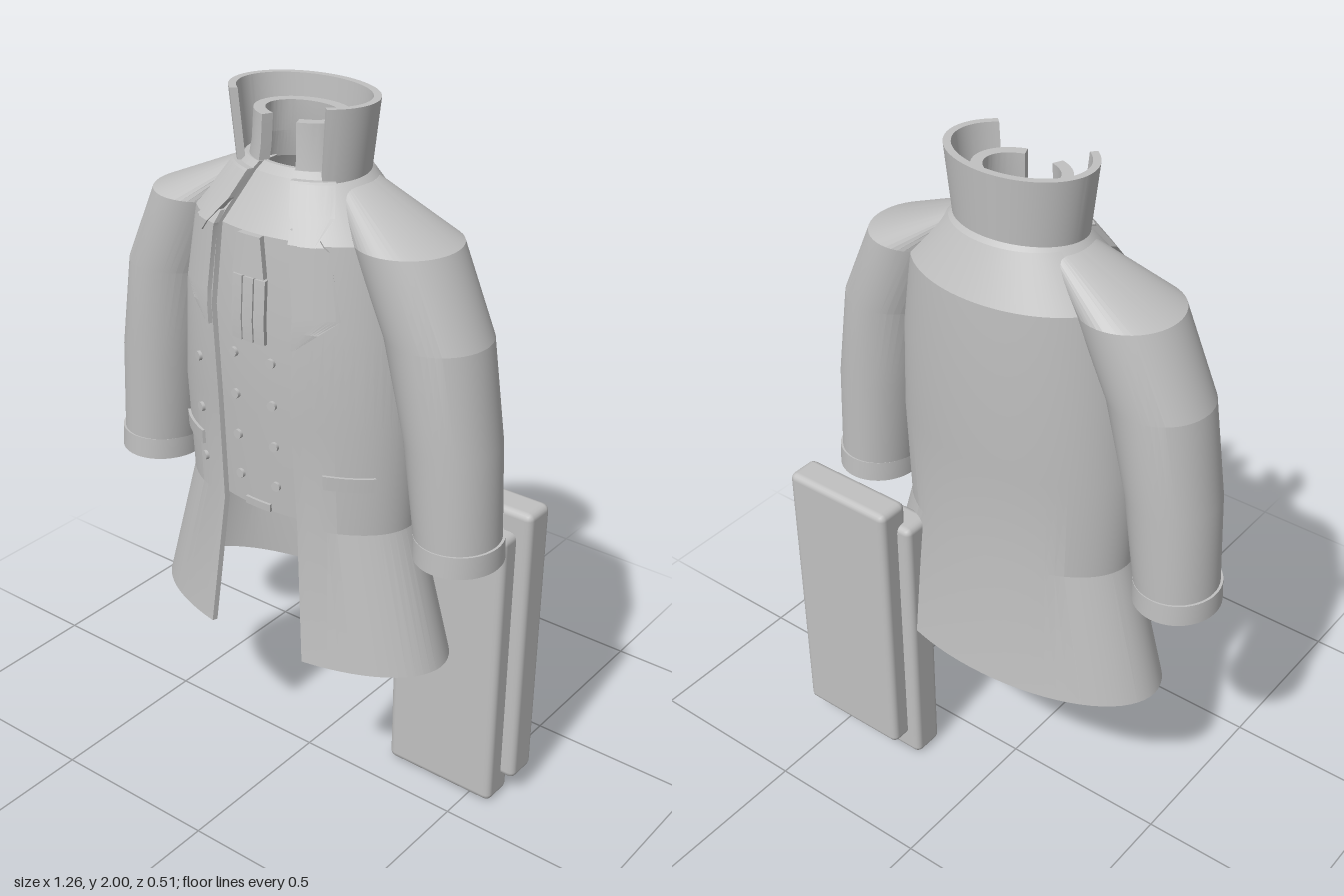
import * as THREE from 'three';
import { toCreasedNormals } from 'three/addons/utils/BufferGeometryUtils.js';
import { RoundedBoxGeometry } from 'three/addons/geometries/RoundedBoxGeometry.js';

// Coat cross-sections: height, half width, front z, back z, half width of the front opening
const COAT = [
  [0.5, 0.47, 0.25, -0.21, 0.16],
  [0.9, 0.355, 0.222, -0.175, 0.125],
  [1.2, 0.365, 0.24, -0.185, 0.12],
  [1.47, 0.345, 0.25, -0.2, 0.13],
  [1.69, 0.31, 0.235, -0.195, 0.115],
  [1.815, 0.19, 0.155, -0.13, 0.065],
  [1.835, 0.165, 0.135, -0.11, 0.055],
];

const ring = (y, cx, rx, zf, zb, a0 = 0, a1 = Math.PI * 2) =>
  ({ y, cx, rx, cz: (zf + zb) / 2, rz: (zf - zb) / 2, a0, a1 });

// Thick shell lofted through elliptical arcs, rings ordered from bottom to top
function shell(rings, t, segs = 64) {
  const pos = [], idx = [], n = segs + 1, loop = 2 * n;
  for (const r of rings) {
    for (let k = 0; k < loop; k++) {
      const inner = k >= n, i = inner ? loop - 1 - k : k;
      const a = r.a0 + (r.a1 - r.a0) * i / segs, d = inner ? t : 0;
      pos.push(r.cx + (r.rx - d) * Math.sin(a), r.y, r.cz + (r.rz - d) * Math.cos(a));
    }
  }
  const quad = (a, b, c, d) => idx.push(a, b, c, a, c, d);
  for (let j = 0; j < rings.length - 1; j++) {
    for (let k = 0; k < loop; k++) {
      const b = (k + 1) % loop, o = j * loop;
      quad(o + k, o + b, o + b + loop, o + k + loop);
    }
  }
  const top = (rings.length - 1) * loop;
  for (let i = 0; i < segs; i++) {
    const m = loop - 1 - i;
    quad(i, m, m - 1, i + 1);
    quad(top + i, top + i + 1, top + m - 1, top + m);
  }
  const g = new THREE.BufferGeometry();
  g.setAttribute('position', new THREE.Float32BufferAttribute(pos, 3));
  g.setIndex(idx);
  return toCreasedNormals(g, 0.18);
}

// Linear interpolation in rows keyed by their first number
function sample(rows, y) {
  let i = 0;
  while (i < rows.length - 2 && y > rows[i + 1][0]) i++;
  const a = rows[i], b = rows[i + 1], f = (y - a[0]) / (b[0] - a[0]);
  return a.map((v, k) => v + (b[k] - v) * f);
}

const angleAt = (x, rx) => Math.asin(Math.max(-1, Math.min(1, x / rx)));

// Panel that follows the coat surface; rows are [y, x from, x to]
function panel(rows, offset, t, segs = 10) {
  const y0 = rows[0][0], y1 = rows[rows.length - 1][0];
  const ys = [...rows.map(r => r[0]), ...COAT.map(r => r[0]).filter(y => y > y0 && y < y1)];
  const heights = [...new Set(ys)].sort((a, b) => a - b);
  return shell(heights.map(y => {
    const [, rx, zf, zb] = sample(COAT, y), [, xa, xb] = sample(rows, y);
    return ring(y, 0, rx + offset, zf + offset, zb - offset, angleAt(xa, rx), angleAt(xb, rx));
  }), t, segs);
}

const mirrored = (rows, s) => rows.map(([y, a, b]) => (s > 0 ? [y, a, b] : [y, -b, -a]));

export function createModel() {
  const root = new THREE.Group();
  root.name = 'coat';
  const grey = new THREE.MeshStandardMaterial({ color: 0xc0c0c0 });
  grey.name = 'light grey';
  const add = (name, geometry) => {
    const mesh = new THREE.Mesh(geometry, grey);
    mesh.name = name;
    root.add(mesh);
    return mesh;
  };

  // Coat body, open down the front
  add('coatBody', shell(COAT.map(([y, rx, zf, zb, w]) => {
    const a = angleAt(w, rx);
    return ring(y, 0, rx, zf, zb, a, Math.PI * 2 - a);
  }), 0.015));

  // Waistcoat behind the opening, with buckle and cravat
  add('waistcoat', panel(COAT.slice(1).map(([y, , , , w]) =>
    [Math.max(y, 0.915), -w - 0.03, w + 0.03]), -0.014, 0.012, 16));
  add('buckle', panel([[0.915, -0.045, 0.04], [0.937, -0.045, 0.04]], -0.006, 0.008, 4));
  for (const x of [-0.052, -0.016, 0.02]) {
    add('cravatFold', panel([[1.41, x, x + 0.032], [1.58, x, x + 0.032]], 0, 0.014, 3));
  }
  add('cravatKnot', panel([[1.585, -0.05, 0.05], [1.69, -0.035, 0.035]], 0.004, 0.018, 4));

  // High collar and inner stand collar, both open at the front
  const a = angleAt(0.145, 0.2), b = angleAt(0.055, 0.14);
  add('highCollar', shell([
    ring(1.8, 0, 0.182, 0.16, -0.117, a, Math.PI * 2 - a),
    ring(2, 0, 0.207, 0.17, -0.13, a, Math.PI * 2 - a),
  ], 0.02));
  add('standCollar', shell([
    ring(1.8, 0, 0.155, 0.14, -0.1, b, Math.PI * 2 - b),
    ring(1.87, 0, 0.14, 0.13, -0.085, b, Math.PI * 2 - b),
    ring(1.95, 0, 0.135, 0.125, -0.08, b, Math.PI * 2 - b),
  ], 0.03));

  for (const s of [1, -1]) {
    const side = s > 0 ? 'left' : 'right';

    // Sleeve with sloping shoulder, and cuff
    add(side + 'Sleeve', shell([
      ring(0.9, s * 0.51, 0.112, 0.145, -0.09),
      ring(1.2, s * 0.48, 0.125, 0.155, -0.1),
      ring(1.47, s * 0.425, 0.137, 0.165, -0.11),
      ring(1.69, s * 0.325, 0.135, 0.168, -0.117),
      ring(1.805, s * 0.155, 0.045, 0.08, -0.06),
    ], 0.025, 48));
    add(side + 'Cuff', shell([
      ring(0.875, s * 0.512, 0.118, 0.152, -0.097),
      ring(0.937, s * 0.51, 0.117, 0.15, -0.095),
    ], 0.04, 48));

    // Lapel and the notched collar fold above it
    add(side + 'Lapel', panel(mirrored([
      [1.42, 0.13, 0.137], [1.51, 0.132, 0.24], [1.68, 0.115, 0.205], [1.72, 0.105, 0.16],
    ], s), 0.012, 0.014));
    add(side + 'CollarFold', panel(mirrored([
      [1.66, 0.16, 0.172], [1.75, 0.09, 0.185], [1.82, 0.062, 0.15],
    ], s), 0.016, 0.018));

    // Pocket flap
    add(side + 'PocketFlap', panel(mirrored([[1.035, 0.2, 0.315], [1.075, 0.2, 0.315]], s), 0.008, 0.01));
  }

  // Buttons on the waistcoat and on the overlapping right side of the coat
  const buttonShape = new THREE.CylinderGeometry(0.013, 0.013, 0.014, 12).rotateX(Math.PI / 2);
  const button = (name, x, y, lift) => {
    const [, rx, zf, zb] = sample(COAT, y), rz = (zf - zb) / 2, t = angleAt(x, rx);
    const m = add(name, buttonShape);
    m.position.set(x, y, (zf + zb) / 2 + rz * Math.cos(t) + lift);
    m.rotation.y = Math.atan2(Math.sin(t) / rx, Math.cos(t) / rz);
  };
  for (const y of [1.0, 1.12, 1.24, 1.36]) {
    for (const x of [-0.06, 0.06]) button('waistcoatButton', x, y, -0.012);
  }
  for (const y of [1.0, 1.15, 1.3]) button('coatButton', -0.2, y, 0.002);

  // Two slabs hanging behind the left hip
  const slab = (name, x, y, z, h) =>
    add(name, new RoundedBoxGeometry(0.35, h, 0.1, 2, 0.02)).position.set(x, y, z);
  slab('frontSlab', 0.396, 0.435, -0.15, 0.87);
  slab('backSlab', 0.437, 0.5, -0.208, 0.87);

  return root;
}
